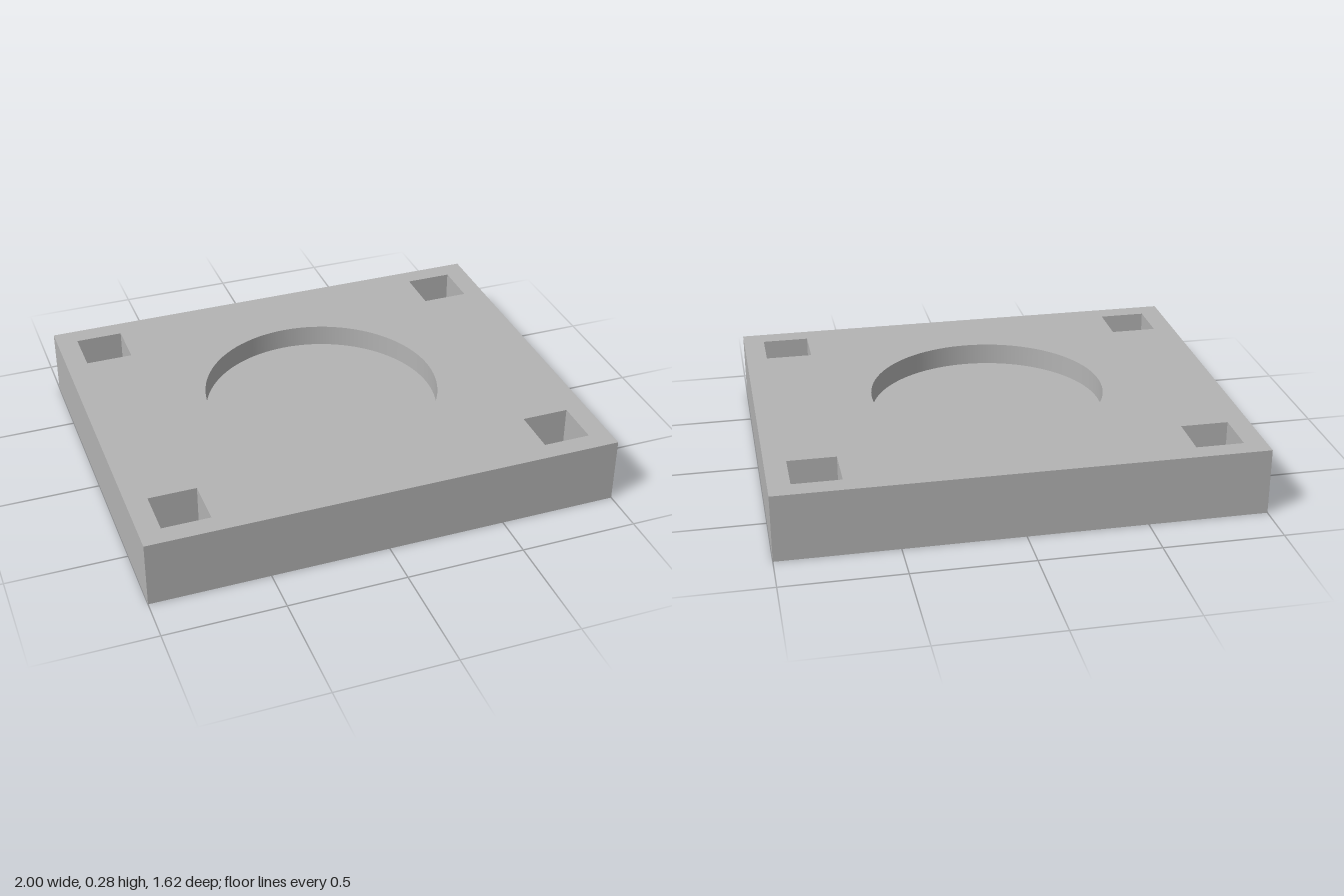
import * as THREE from 'three';

const W = 2, D = 1.62, H = 0.283;   // slab size
const R = 0.5, ROUND_DEPTH = 0.093; // round recess
const S = 0.2, SQUARE_DEPTH = 0.19; // square corner pockets
const PX = 0.81, PZ = 0.625;        // pocket centres
const SEGMENTS = 96;

// Removes the upper cap of a box (group 2) or cylinder (group 1)
function openTop(geometry, capGroup) {
  const index = Array.from(geometry.index.array);
  const cap = geometry.groups[capGroup];
  index.splice(cap.start, cap.count);
  geometry.setIndex(index);
  geometry.clearGroups();
  return geometry;
}

// Turns a geometry inside out so it reads as a hollow
function invert(geometry) {
  const index = Array.from(geometry.index.array);
  for (let i = 0; i < index.length; i += 3) {
    [index[i + 1], index[i + 2]] = [index[i + 2], index[i + 1]];
  }
  geometry.setIndex(index);
  const n = geometry.attributes.normal;
  for (let i = 0; i < n.count; i++) n.setXYZ(i, -n.getX(i), -n.getY(i), -n.getZ(i));
  return geometry;
}

export function createModel() {
  const model = new THREE.Group();
  model.name = 'recessedPlate';
  const grey = new THREE.MeshStandardMaterial({ color: 0xb3b3b3 });
  grey.name = 'grey';

  const add = (name, geometry, x = 0, y = 0, z = 0) => {
    const mesh = new THREE.Mesh(geometry, grey);
    mesh.name = name;
    mesh.position.set(x, y, z);
    model.add(mesh);
  };
  const rectangle = (path, cx, cy, w, h) => {
    path.moveTo(cx - w / 2, cy - h / 2);
    path.lineTo(cx + w / 2, cy - h / 2);
    path.lineTo(cx + w / 2, cy + h / 2);
    path.lineTo(cx - w / 2, cy + h / 2);
    path.closePath();
    return path;
  };

  // Sides and underside
  add('slabBody', openTop(new THREE.BoxGeometry(W, H, D), 2), 0, H / 2, 0);

  // Top face, pierced where the recesses open
  const top = rectangle(new THREE.Shape(), 0, 0, W, D);
  top.holes.push(new THREE.Path().absarc(0, 0, R, 0, Math.PI * 2, true));

  // Round recess
  const round = new THREE.CylinderGeometry(R, R, ROUND_DEPTH, SEGMENTS);
  add('roundRecess', invert(openTop(round, 1)), 0, H - ROUND_DEPTH / 2, 0);

  // Square pocket in each corner
  for (const sx of [-1, 1]) {
    for (const sz of [-1, 1]) {
      top.holes.push(rectangle(new THREE.Path(), sx * PX, sz * PZ, S, S));
      const pocket = new THREE.BoxGeometry(S, SQUARE_DEPTH, S);
      const name = (sz > 0 ? 'front' : 'back') + (sx > 0 ? 'Left' : 'Right') + 'Pocket';
      add(name, invert(openTop(pocket, 2)), sx * PX, H - SQUARE_DEPTH / 2, sz * PZ);
    }
  }
  add('topFace', new THREE.ShapeGeometry(top, SEGMENTS / 2).rotateX(-Math.PI / 2), 0, H, 0);

  return model;
}
